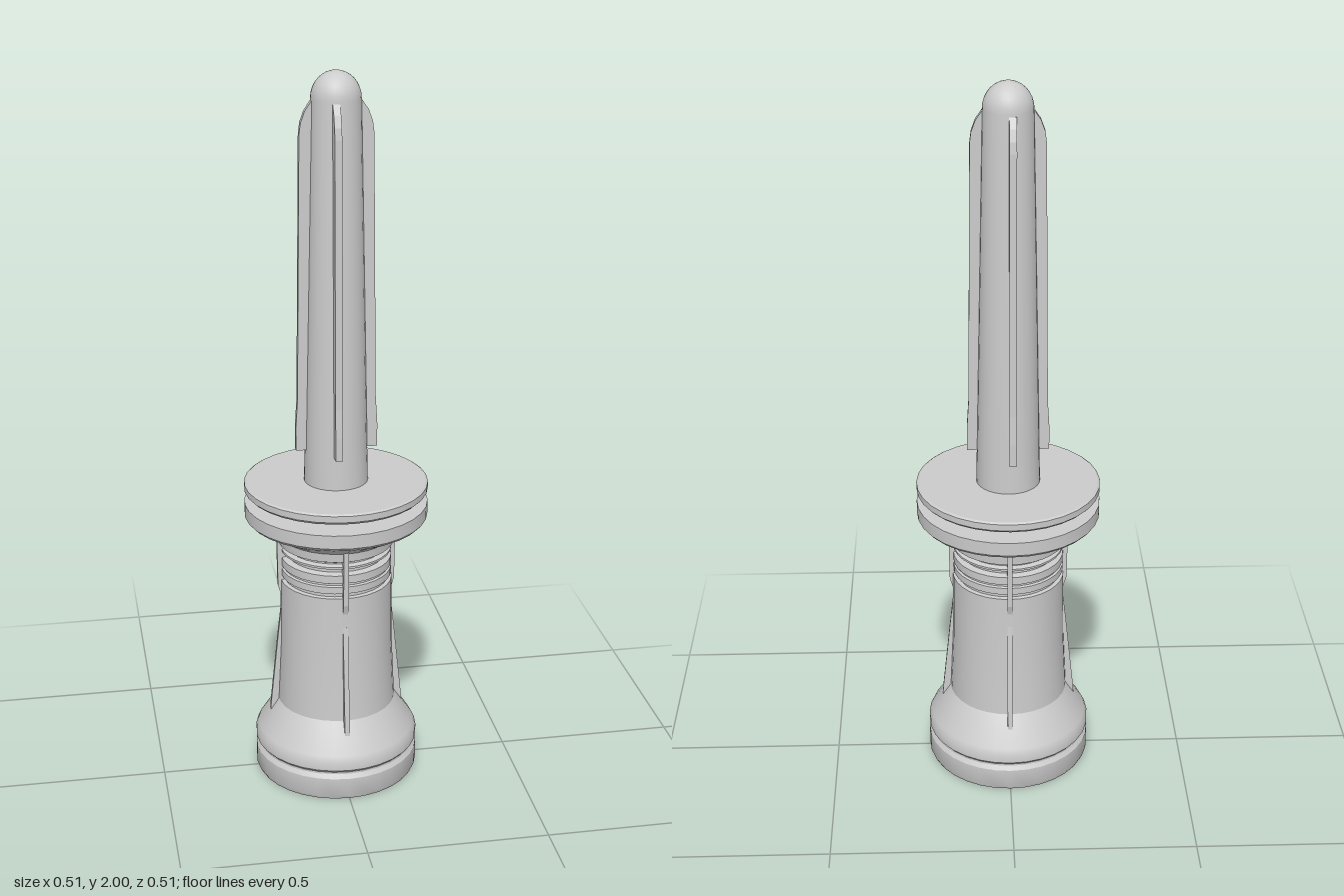
import * as THREE from 'three';
import { toCreasedNormals } from 'three/addons/utils/BufferGeometryUtils.js';

const material = new THREE.MeshStandardMaterial({ color: 0xcccccc });

function turned(name, points, segments, crease = 0.5) {
  const lathe = new THREE.LatheGeometry(points.map(([r, y]) => new THREE.Vector2(r, y)), segments);
  const mesh = new THREE.Mesh(toCreasedNormals(lathe, crease), material);
  mesh.name = name;
  return mesh;
}

// Thin plate drawn in (radius, height), repeated at four quarter turns
function fourPlates(name, points, thickness, offsets = [0, 0, 0, 0]) {
  const group = new THREE.Group();
  group.name = name + 's';
  const shape = new THREE.Shape(points.map(([r, y]) => new THREE.Vector2(r, y)));
  const geometry = new THREE.ExtrudeGeometry(shape, { depth: thickness, bevelEnabled: false });
  geometry.translate(0, 0, -thickness / 2);
  offsets.forEach((offset, i) => {
    const pivot = new THREE.Group();
    const plate = new THREE.Mesh(geometry, material);
    plate.name = name;
    plate.position.z = offset;
    pivot.rotation.y = i * Math.PI / 2;
    pivot.add(plate);
    group.add(pivot);
  });
  return group;
}

export function createModel() {
  const model = new THREE.Group();
  model.name = 'finnedPin';

  // Hollow base with grooved foot, flared shoulder, ringed neck and double flange
  model.add(turned('body', [
    [0, 0.55], [0.067, 0.55], [0.067, 0],
    [0.225, 0], [0.23, 0.01], [0.23, 0.065], [0.222, 0.077],
    [0.222, 0.083], [0.23, 0.092], [0.23, 0.115], [0.222, 0.132],
    [0.167, 0.215], [0.158, 0.4], [0.156, 0.588],
    [0.145, 0.59], [0.145, 0.6],
    [0.154, 0.602], [0.154, 0.622], [0.148, 0.625], [0.148, 0.63],
    [0.154, 0.633], [0.154, 0.656], [0.136, 0.66], [0.136, 0.672],
    [0.154, 0.676], [0.154, 0.682], [0.14, 0.686], [0.14, 0.69],
    [0.16, 0.7], [0.162, 0.725], [0.17, 0.732],
    [0.245, 0.773], [0.253, 0.782], [0.253, 0.82],
    [0.17, 0.822], [0.17, 0.828],
    [0.245, 0.85], [0.253, 0.858], [0.253, 0.876], [0.247, 0.88], [0, 0.88],
  ], 32));

  // Tapered shaft with a domed tip
  const shaft = [[0.088, 0.87], [0.085, 1.0], [0.066, 1.93]];
  for (let i = 1; i <= 8; i++) {
    const a = i / 8 * Math.PI / 2;
    shaft.push([i === 8 ? 0 : 0.066 * Math.cos(a), 1.93 + 0.07 * Math.sin(a)]);
  }
  model.add(turned('shaft', shaft, 28, 0.7));

  // Long fins along the shaft, slightly off the axis
  model.add(fourPlates('shaftFin', [
    [0.04, 0.975], [0.112, 0.975], [0.112, 1.04], [0.107, 1.12], [0.098, 1.84],
    [0.094, 1.87], [0.083, 1.9], [0.066, 1.925], [0.04, 1.925],
  ], 0.019, [0.004, -0.01, -0.004, 0.01]));

  // Short ribs bridging the neck rings
  model.add(fourPlates('neckRib', [
    [0.12, 0.54], [0.156, 0.54], [0.165, 0.57], [0.167, 0.73], [0.12, 0.73],
  ], 0.014));

  // Tapered gussets above the foot
  model.add(fourPlates('footGusset', [
    [0.14, 0.17], [0.191, 0.17], [0.188, 0.21], [0.165, 0.43], [0.157, 0.5], [0.14, 0.5],
  ], 0.014));

  return model;
}
